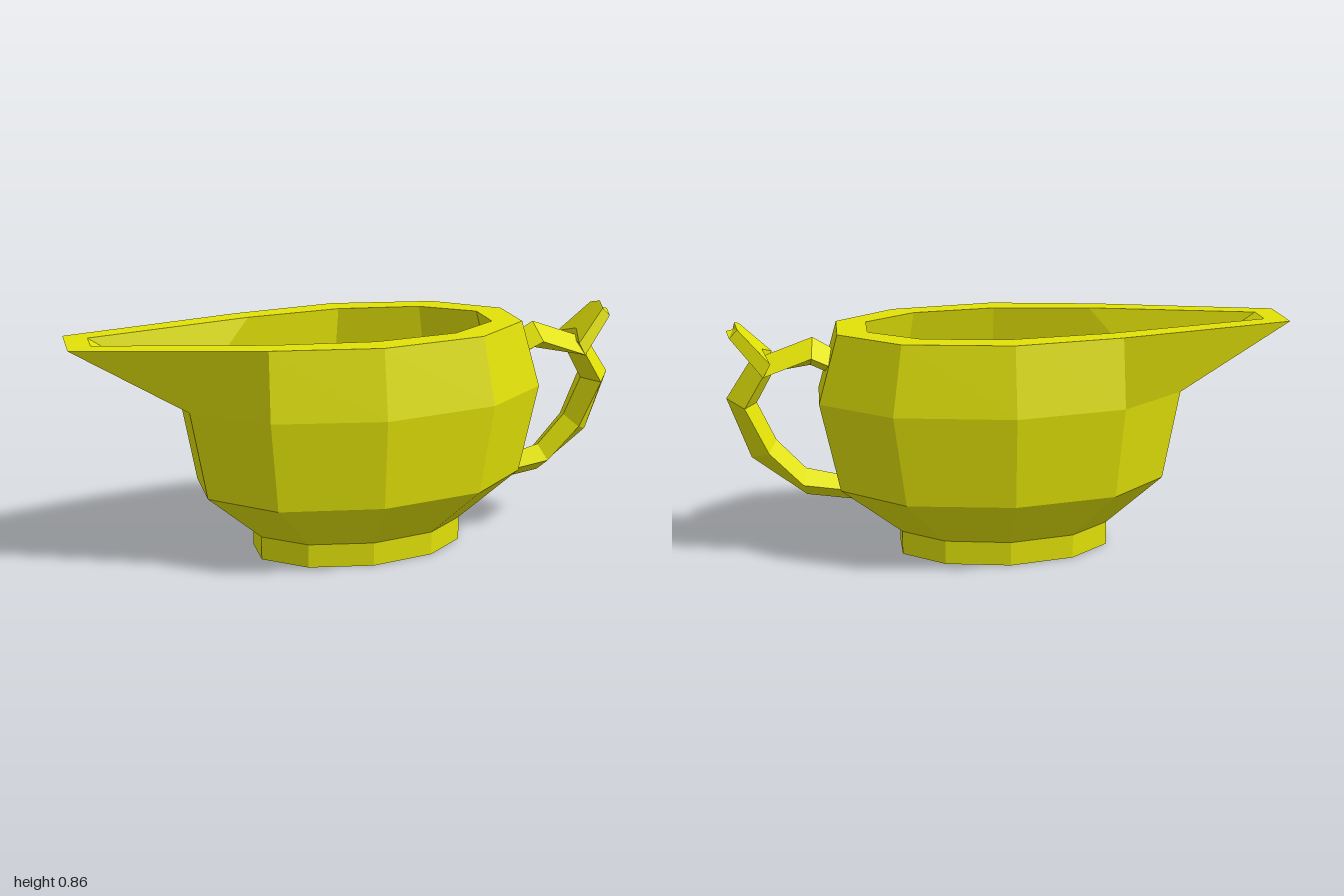
import * as THREE from 'three';

// Skin through rings of equal point count, with one flat normal for each four-sided face.
function loft(rings, capStart, capEnd) {
  const pos = [], nor = [];
  const n = rings[0].length;
  const vec = (p, q) => new THREE.Vector3(q[0] - p[0], q[1] - p[1], q[2] - p[2]);
  const face = (normal, pts) => {
    normal.normalize();
    for (const p of pts) {
      pos.push(...p);
      nor.push(normal.x, normal.y, normal.z);
    }
  };
  for (let r = 0; r + 1 < rings.length; r++) {
    for (let j = 0; j < n; j++) {
      const k = (j + 1) % n;
      const a = rings[r][j], b = rings[r][k], c = rings[r + 1][j], d = rings[r + 1][k];
      face(vec(a, d).cross(vec(c, b)), [a, c, d, a, d, b]);
    }
  }
  const cap = (ring, atEnd) => {
    const mid = [0, 1, 2].map((i) => ring.reduce((s, p) => s + p[i], 0) / n);
    for (let j = 0; j < n; j++) {
      const p = ring[atEnd ? (j + 1) % n : j], q = ring[atEnd ? j : (j + 1) % n];
      face(vec(mid, p).cross(vec(mid, q)), [mid, p, q]);
    }
  };
  if (capStart) cap(rings[0], false);
  if (capEnd) cap(rings[rings.length - 1], true);
  const geo = new THREE.BufferGeometry();
  geo.setAttribute('position', new THREE.Float32BufferAttribute(pos, 3));
  geo.setAttribute('normal', new THREE.Float32BufferAttribute(nor, 3));
  return geo;
}

// Ten-sided horizontal ring from five [x, z] points, handle end to spout end.
function bowlRing(y, half) {
  const front = half.map(([x, z]) => [x, y, z]);
  const back = half.map(([x, z]) => [x, y, -z]).reverse();
  return [...front, ...back];
}

// Diamond cross-section: outer ridge, side corners, inner ridge.
function diamond([ox, oy, sx, sy, ix, iy, w]) {
  return [[ox, oy, 0], [sx, sy, -w], [ix, iy, 0], [sx, sy, w]];
}

// Chevron cross-section: back ridge, back corners, front corners, front ridge.
function chevron([ox, oy, bx, by, fx, fy, ix, iy, w]) {
  return [[ox, oy, 0], [bx, by, -w], [fx, fy, -w], [ix, iy, 0], [fx, fy, w], [bx, by, w]];
}

export function createModel() {
  const group = new THREE.Group();
  const yellow = new THREE.MeshStandardMaterial({ color: 0xe1e108 });
  const add = (name, geo) => {
    const mesh = new THREE.Mesh(geo, yellow);
    mesh.name = name;
    group.add(mesh);
  };

  // Foot
  const footHalf = [[0.395, 0.073], [0.25, 0.19], [0.02, 0.235], [-0.21, 0.19], [-0.355, 0.073]];
  const footTop = bowlRing(0.087, footHalf);
  add('foot', loft([bowlRing(0, footHalf), footTop], true, false));

  // Bowl wall with the rim drawn out into a spout
  const rim = bowlRing(0.83, [[0.605, 0.108], [0.395, 0.282], [0.02, 0.347], [-0.36, 0.282], [-1, 0.108]]);
  add('bowl', loft([
    footTop,
    bowlRing(0.265, [[0.61, 0.112], [0.39, 0.3], [0.02, 0.365], [-0.34, 0.3], [-0.55, 0.112]]),
    bowlRing(0.587, [[0.675, 0.12], [0.43, 0.317], [0.02, 0.393], [-0.365, 0.317], [-0.605, 0.12]]),
    rim,
  ], false, false));

  // Flat rim
  const lip = bowlRing(0.83, [[0.5, 0.08], [0.32, 0.21], [0.02, 0.253], [-0.33, 0.207], [-0.92, 0.055]]);
  add('rim', loft([rim, lip], false, false));

  // Hollow inside with its floor
  const floor = bowlRing(0.61, [[0.56, 0.09], [0.355, 0.24], [0.02, 0.305], [-0.52, 0.14], [-0.61, 0.09]]);
  add('inside', loft([lip, floor], false, true));

  // Handle loop
  add('handle', loft([
    [0.6, 0.745, 0.6, 0.7, 0.6, 0.65, 0.1],
    [0.69, 0.8, 0.695, 0.745, 0.7, 0.7, 0.1],
    [0.91, 0.72, 0.865, 0.683, 0.83, 0.68, 0.1],
    [0.997, 0.588, 0.93, 0.575, 0.892, 0.57, 0.1],
    [0.92, 0.368, 0.855, 0.405, 0.83, 0.43, 0.088],
    [0.73, 0.22, 0.74, 0.28, 0.73, 0.32, 0.08],
    [0.5, 0.185, 0.58, 0.255, 0.59, 0.285, 0.08],
  ].map(diamond), true, true));

  // Thumb rest on top of the handle
  add('thumbRest', loft([
    [0.865, 0.762, 0.835, 0.73, 0.862, 0.683, 0.91, 0.72, 0.1],
    [0.955, 0.86, 0.943, 0.845, 0.972, 0.815, 0.985, 0.83, 0.055],
  ].map(chevron), true, true));

  return group;
}
